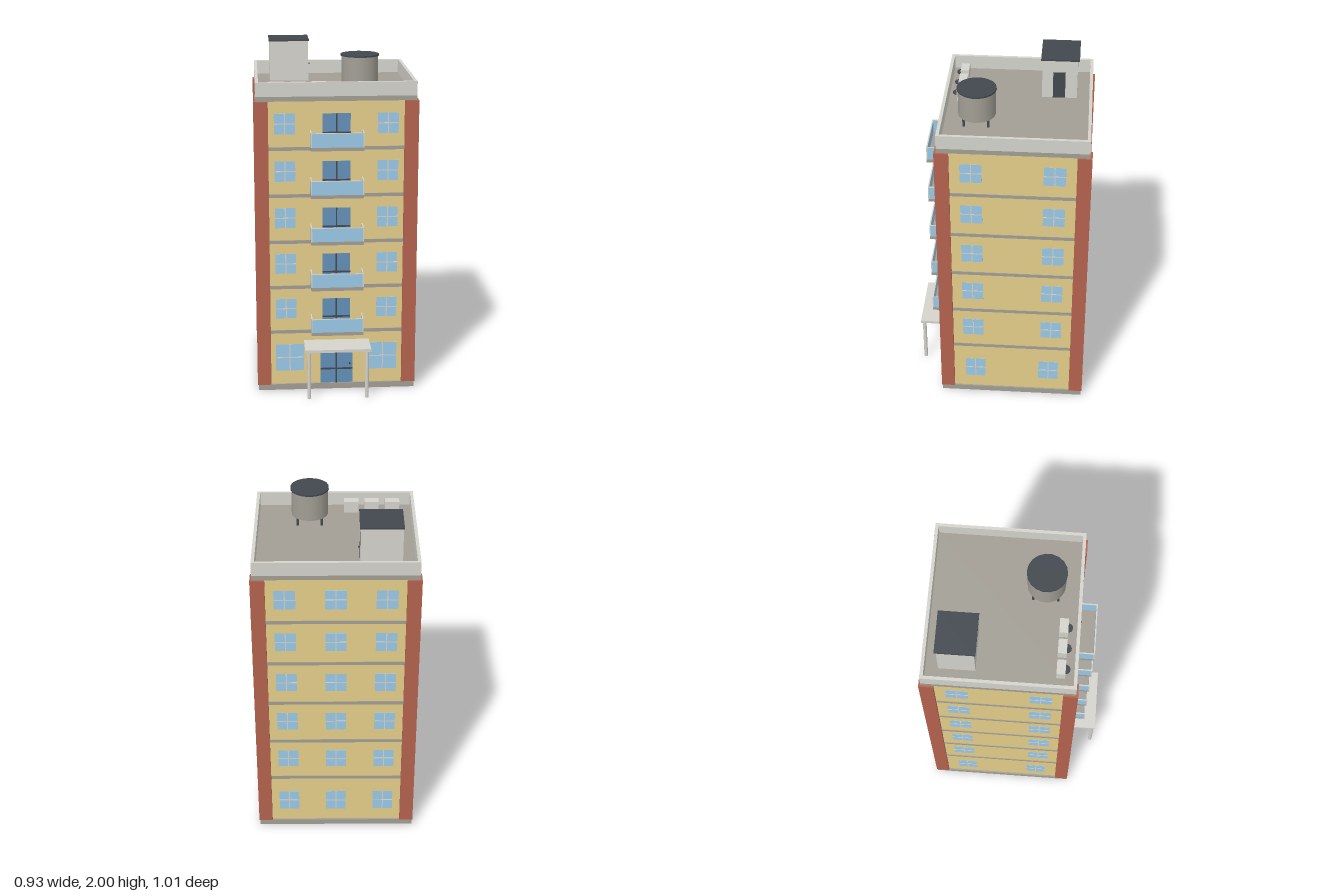
import * as THREE from 'three';

const mat = (name, color) => new THREE.MeshStandardMaterial({ name, color });

export function createModel() {
  const M = {
    wall: mat('ochre wall', 0xe4ce8a),
    brick: mat('red brick', 0xb3624e),
    stone: mat('grey stone', 0xa29e95),
    pale: mat('pale concrete', 0xd4d3cc),
    glass: mat('window glass', 0x9bcae8),
    door: mat('door glass', 0x6390b8),
    dark: mat('dark metal', 0x42484e),
  };
  const root = new THREE.Group();
  root.name = 'apartmentBlock';

  // Everything on the building is laid out around its own centre line
  const CZ = -0.078, HX = 0.451, HZ = 0.413;
  const building = new THREE.Group();
  building.name = 'building';
  building.position.z = CZ;
  root.add(building);

  const add = (parent, name, geo, m, x, y, z) => {
    const mesh = new THREE.Mesh(geo, m);
    mesh.name = name;
    mesh.position.set(x, y, z);
    parent.add(mesh);
    return mesh;
  };
  // Box given by its centre in x and z, and its bottom and top in y
  const box = (parent, name, m, x, z, w, d, y0, y1) =>
    add(parent, name, new THREE.BoxGeometry(w, y1 - y0, d), m, x, (y0 + y1) / 2, z);
  // Rectangular frame around the building, standing on y0
  const rect = (Path, hx, hz) => new Path()
    .moveTo(-hx, -hz).lineTo(hx, -hz).lineTo(hx, hz).lineTo(-hx, hz).closePath();
  const frame = (name, m, hx, hz, t, y0, y1) => {
    const shape = rect(THREE.Shape, hx, hz);
    shape.holes.push(rect(THREE.Path, hx - t, hz - t));
    const geo = new THREE.ExtrudeGeometry(shape, { depth: y1 - y0, bevelEnabled: false });
    add(building, name, geo.rotateX(-Math.PI / 2), m, 0, y0, 0);
  };

  // Hollow plinth, ground slab, body, corner pilasters
  frame('plinth', M.stone, 0.46, 0.424, 0.018, 0, 0.035);
  box(building, 'groundSlab', M.stone, 0, 0, 0.9, 0.83, 0.03, 0.0345);
  box(building, 'walls', M.wall, 0, 0, HX * 2, HZ * 2, 0.034, 1.728);
  for (const sx of [-1, 1]) for (const sz of [-1, 1])
    box(building, 'cornerPilaster', M.brick, sx * 0.425, sz * 0.389, 0.08, 0.08, 0.035, 1.728);

  // Storey bands
  const STEP = 0.274;
  for (let i = 0; i < 5; i++) {
    const y = 0.361 + i * STEP;
    box(building, 'storeyBand', M.stone, 0, 0, HX * 2 + 0.008, HZ * 2 + 0.008, y - 0.01, y + 0.01);
  }

  // Roof slab and parapet
  box(building, 'roofSlab', M.stone, 0, 0, 0.91, 0.834, 1.728, 1.755);
  frame('parapet', M.pale, 0.455, 0.417, 0.018, 1.755, 1.835);

  // Facades: local +z points outwards from each wall
  const facade = (name, dist, angle) => {
    const g = new THREE.Group();
    g.name = name;
    g.rotation.y = angle;
    building.add(g);
    g.userData.dist = dist;
    return g;
  };
  const front = facade('frontFacade', HZ, 0);
  const back = facade('backFacade', HZ, Math.PI);
  const sides = [facade('leftFacade', HX, Math.PI / 2), facade('rightFacade', HX, -Math.PI / 2)];

  const pane = (f, name, m, x, y, w, h, out) =>
    add(f, name, new THREE.BoxGeometry(w, h, 0.0098), m, x, y, f.userData.dist + out - 0.0049);
  const windowAt = (f, x, y, w, h) => {
    pane(f, 'windowGlass', M.glass, x, y, w, h, 0.0015);
    pane(f, 'windowMullion', M.pale, x, y, 0.006, h, 0.003);
    pane(f, 'windowTransom', M.pale, x, y, w, 0.006, 0.003);
  };
  const doorAt = (f, w, y0, y1, hx, hy) => {
    const h = y1 - y0;
    pane(f, 'doorGlass', M.door, 0, (y0 + y1) / 2, w, h, 0.002);
    pane(f, 'doorMullion', M.dark, 0, (y0 + y1) / 2, 0.008, h, 0.009);
    pane(f, 'doorTransom', M.dark, 0, y0 + h * 0.38, w, 0.008, 0.009);
    pane(f, 'doorHandle', M.dark, hx, hy, 0.007, 0.014, 0.0095);
  };

  // Ground floor openings
  doorAt(front, 0.19, 0.035, 0.271, 0.08, 0.155);
  for (const s of [-1, 1]) {
    windowAt(front, s * 0.273, 0.199, 0.165, 0.165);
    for (const f of sides) windowAt(f, s * 0.22, 0.183, 0.118, 0.135);
  }
  for (const x of [-0.28, 0, 0.28]) windowAt(back, x, 0.183, 0.118, 0.135);

  // Upper floors: windows, balcony doors and balconies
  for (let i = 0; i < 5; i++) {
    const y = 0.504 + i * STEP, base = 0.366 + i * STEP;
    for (const s of [-1, 1]) {
      windowAt(front, s * 0.293, y, 0.118, 0.118);
      for (const f of sides) windowAt(f, s * 0.23, y, 0.122, 0.118);
    }
    for (const x of [-0.28, 0, 0.28]) windowAt(back, x, y, 0.118, 0.118);
    doorAt(front, 0.16, base + 0.02, y + 0.058, 0.063, base + 0.06);

    const balcony = new THREE.Group();
    balcony.name = 'balcony';
    front.add(balcony);
    const floor = base + 0.02, top = base + 0.098, rail = base + 0.102;
    box(balcony, 'balconySlab', M.stone, 0, 0.461, 0.3, 0.1, base, floor);
    box(balcony, 'balconyFrontPanel', M.glass, 0, 0.5075, 0.29, 0.005, floor, top);
    box(balcony, 'balconyFrontRail', M.pale, 0, 0.5075, 0.302, 0.007, top, rail);
    for (const s of [-1, 1]) {
      box(balcony, 'balconySidePanel', M.glass, s * 0.1475, 0.458, 0.005, 0.092, floor, top);
      box(balcony, 'balconySideRail', M.pale, s * 0.1475, 0.458, 0.007, 0.092, top, rail);
      box(balcony, 'balconyPost', M.pale, s * 0.1475, 0.5075, 0.007, 0.007, floor, top);
    }
  }

  // Entrance canopy on two posts
  box(root, 'canopy', M.pale, 0, 0.42, 0.382, 0.17, 0.289, 0.306);
  for (const s of [-1, 1])
    add(root, 'canopyPost', new THREE.CylinderGeometry(0.0115, 0.0115, 0.289, 10), M.pale, s * 0.168, 0.1445, 0.486);

  // Stair house on the roof
  box(root, 'stairHouse', M.pale, -0.247, -0.307, 0.23, 0.2, 1.755, 1.991);
  box(root, 'stairHouseCap', M.dark, -0.247, -0.308, 0.238, 0.218, 1.991, 2);
  box(root, 'stairHouseDoor', M.dark, -0.135, -0.304, 0.008, 0.07, 1.755, 1.918);
  box(root, 'stairHouseHandle', M.dark, -0.126, -0.329, 0.012, 0.005, 1.834, 1.842);

  // Water tank on legs
  const tank = new THREE.Group();
  tank.name = 'waterTank';
  tank.position.set(0.146, 0, 0.141);
  root.add(tank);
  add(tank, 'tankBody', new THREE.CylinderGeometry(0.105, 0.105, 0.155, 18), M.stone, 0, 1.8775, 0);
  add(tank, 'tankLid', new THREE.CylinderGeometry(0.1105, 0.1105, 0.009, 18), M.dark, 0, 1.9595, 0);
  for (const sx of [-1, 1]) for (const sz of [-1, 1])
    box(tank, 'tankLeg', M.dark, sx * 0.068, sz * 0.068, 0.014, 0.014, 1.755, 1.8);

  // Air conditioning units, each with a fan disc half set into its front
  for (const x of [-0.33, -0.211, -0.093]) {
    box(root, 'airConditioner', M.pale, x, 0.25, 0.083, 0.048, 1.755, 1.822);
    add(root, 'airConditionerFan', new THREE.CylinderGeometry(0.025, 0.025, 0.008, 16), M.dark, x, 1.789, 0.274);
  }
  return root;
}
